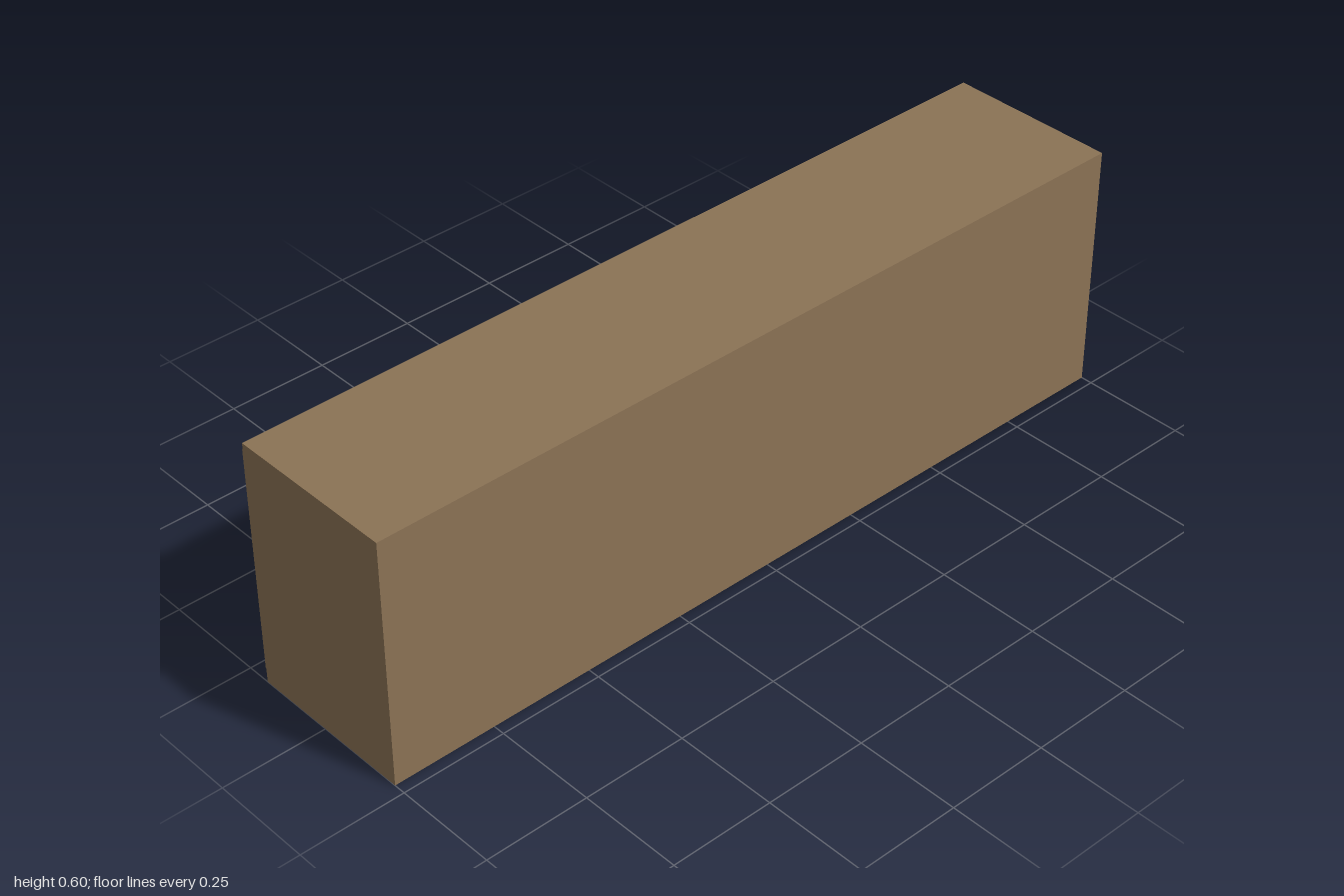
import * as THREE from 'three';

export function createModel() {
  const cabinet = new THREE.Group();
  cabinet.name = 'cabinet';
  const wood = new THREE.MeshStandardMaterial({ color: 0x8b7355 });
  const lightWood = new THREE.MeshStandardMaterial({ color: 0x9b8468 });
  const black = new THREE.MeshStandardMaterial({ color: 0x222222 });

  function add(name, geometry, material, x, y, z) {
    const mesh = new THREE.Mesh(geometry, material);
    mesh.name = name;
    mesh.position.set(x, y, z);
    cabinet.add(mesh);
  }

  // Carcass, with its closed side towards +z
  const height = 0.602, front = 0.222, back = -0.192;
  add('carcass', new THREE.BoxGeometry(2, height, front - back), wood, 0, height / 2, (front + back) / 2);

  // Four doors in alternating tones, each with a round knob
  const doorDepth = 0.012;
  const doorGeometry = new THREE.BoxGeometry(0.487, 0.552, doorDepth);
  const knobGeometry = new THREE.SphereGeometry(0.0135, 24, 16);
  for (let i = 0; i < 4; i++) {
    const x = 0.75 - i * 0.5;
    add(`door${i + 1}`, doorGeometry, i % 2 ? wood : lightWood, x, height / 2, back - doorDepth / 2);
    add(`knob${i + 1}`, knobGeometry, black, x + 0.16, height / 2, -0.2085);
  }
  return cabinet;
}
